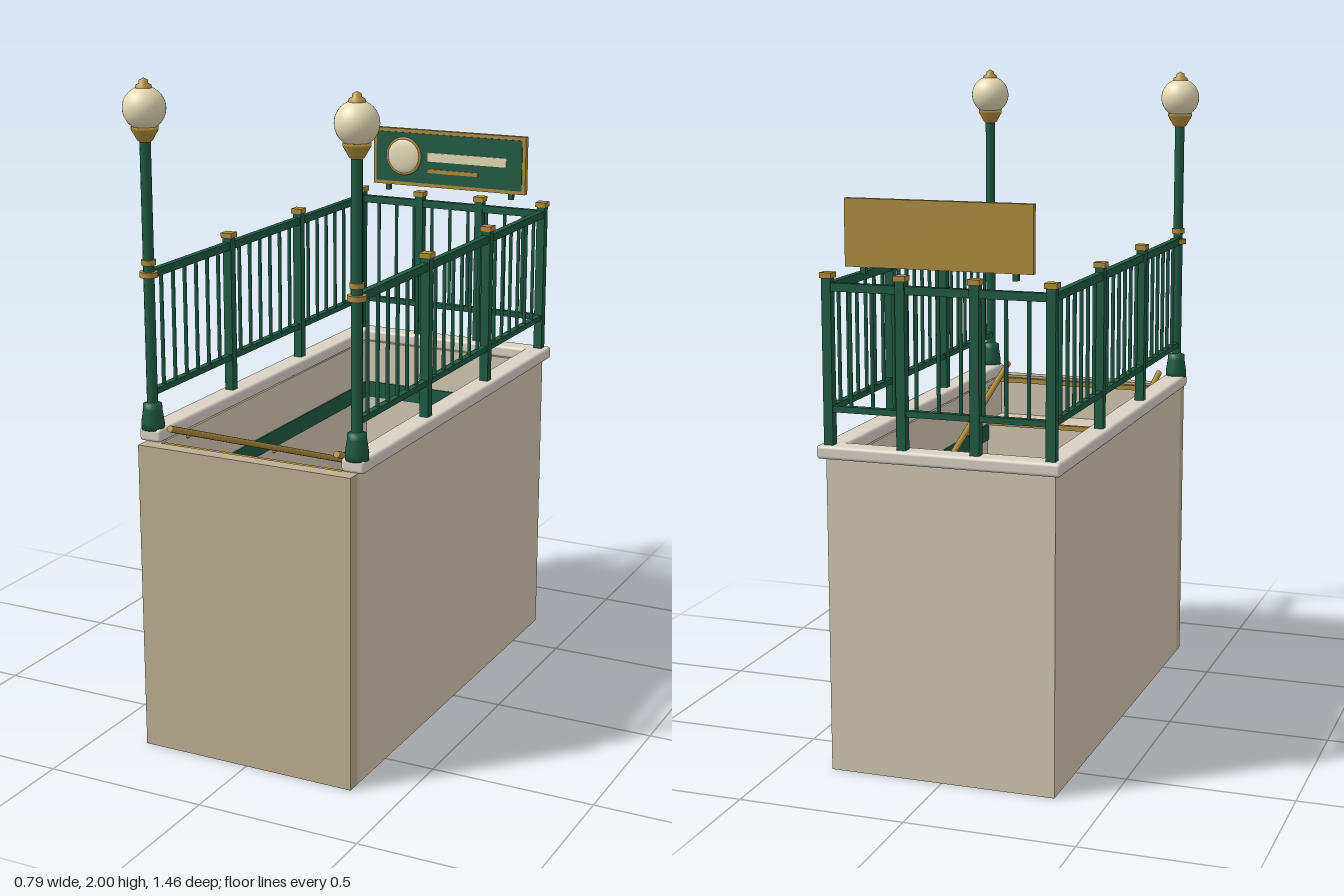
import * as THREE from 'three';
import { RoundedBoxGeometry } from 'three/addons/geometries/RoundedBoxGeometry.js';

const mat = (color) => new THREE.MeshStandardMaterial({ color });
const GREEN = mat(0x1f5a44), GOLD = mat(0xb08d3f), CREAM = mat(0xe6dcb8);
const STONE = mat(0xd3c9b3), CAP = mat(0xd9d2c6), TAN = mat(0xbcae92);

export function createModel() {
  const root = new THREE.Group();

  const add = (name, geo, m, x, y, z, parent = root) => {
    const mesh = new THREE.Mesh(geo, m);
    mesh.name = name;
    mesh.position.set(x, y, z);
    parent.add(mesh);
    return mesh;
  };
  // box given by its min and max corners
  const box = (name, m, x0, x1, y0, y1, z0, z1, parent) =>
    add(name, new THREE.BoxGeometry(x1 - x0, y1 - y0, z1 - z0), m,
      (x0 + x1) / 2, (y0 + y1) / 2, (z0 + z1) / 2, parent);
  const rod = (name, m, r, a, b, parent) => {
    const dir = b.clone().sub(a);
    const mesh = add(name, new THREE.CylinderGeometry(r, r, dir.length(), 12), m, 0, 0, 0, parent);
    mesh.position.copy(a).lerp(b, 0.5);
    mesh.quaternion.setFromUnitVectors(new THREE.Vector3(0, 1, 0), dir.normalize());
    return mesh;
  };
  const lathe = (name, m, pts, x, z, parent) =>
    add(name, new THREE.LatheGeometry(pts.map((p) => new THREE.Vector2(...p)), 24), m, x, 0, z, parent);
  const V = (x, y, z) => new THREE.Vector3(x, y, z);

  const RX = 0.333, BACK = -0.69, FRONT = 0.665;
  const TOP = 0.985; // top of the coping

  // Stairwell walls
  for (const s of [-1, 1]) {
    const x0 = s < 0 ? -0.345 : 0.295;
    box('sideWall', STONE, x0, x0 + 0.05, 0, 0.945, -0.705, 0.685);
    add('sideCoping', new RoundedBoxGeometry(0.072, 0.04, 1.42, 2, 0.01), CAP, s * 0.33, 0.965, -0.02);
    box('tileBand', GREEN, s < 0 ? -0.297 : 0.29, s < 0 ? -0.29 : 0.297, 0.745, 0.8, -0.66, 0.68);
  }
  box('backWall', STONE, -0.295, 0.295, 0, 0.945, -0.705, -0.66);
  box('frontWall', TAN, -0.345, 0.345, 0, 0.945, 0.685, 0.73);
  add('backCoping', new RoundedBoxGeometry(0.73, 0.04, 0.07, 2, 0.01), CAP, 0, 0.965, -0.695);
  box('backTileBand', GREEN, -0.295, 0.295, 0.745, 0.8, -0.662, -0.655);

  // Stairs with metal nosings, and the landing at their foot
  const stairs = new THREE.Group();
  stairs.name = 'stairs';
  root.add(stairs);
  const RUN = 0.1436, RISE = 0.125, Z0 = -0.34;
  box('landing', STONE, -0.295, 0.295, 0.015, 0.04, -0.66, Z0, stairs);
  for (let i = 0; i < 8; i++) {
    const z = Z0 + i * RUN, y = 0.06 + i * RISE;
    box('step', STONE, -0.295, 0.295, 0.015, y, z, Math.min(z + RUN, 0.685), stairs);
    box('nosing', GOLD, -0.295, 0.295, y - 0.012, y + 0.004, z - 0.008, z + 0.009, stairs);
  }

  // Sloping handrails inside the well
  for (const s of [-1, 1]) {
    const a = V(s * 0.272, 0.987, 0.67), b = V(s * 0.272, 0.5, -0.64);
    rod('handrail', GOLD, 0.01, a, b);
    for (const t of [0.1, 0.5, 0.9]) {
      const p = a.clone().lerp(b, t);
      rod('handrailBracket', GOLD, 0.005, p, V(s * 0.297, p.y - 0.015, p.z));
    }
  }

  // Railings: posts, two rails and evenly spaced balusters
  const fence = new THREE.Group();
  fence.name = 'railings';
  root.add(fence);
  const post = (x, z) => {
    box('post', GREEN, x - 0.014, x + 0.014, TOP - 0.005, 1.47, z - 0.014, z + 0.014, fence);
    box('postCap', GOLD, x - 0.018, x + 0.018, 1.465, 1.481, z - 0.018, z + 0.018, fence);
  };
  const run = (a, b, count, skip) => {
    const alongX = a.z === b.z;
    for (const [y, h] of [[1.44, 0.024], [1.09, 0.018]]) {
      const len = a.distanceTo(b), w = 0.02;
      add('rail', new THREE.BoxGeometry(alongX ? len : w, h, alongX ? w : len), GREEN,
        (a.x + b.x) / 2, y, (a.z + b.z) / 2, fence);
    }
    for (let i = 1; i < count; i++) {
      if (skip && i % skip === 0) continue;
      const p = a.clone().lerp(b, i / count);
      add('baluster', new THREE.CylinderGeometry(0.006, 0.006, 0.35, 8), GREEN, p.x, 1.265, p.z, fence);
    }
  };
  for (const s of [-1, 1]) {
    run(V(s * RX, 0, FRONT), V(s * RX, 0, BACK), 21, 7);
    for (const z of [0.21, -0.24, BACK - 0.01]) post(s * RX, z);
    post(s * 0.11, BACK - 0.01);
  }
  run(V(-RX, 0, BACK - 0.01), V(RX, 0, BACK - 0.01), 10);

  // Lamp posts at the front corners
  for (const s of [-1, 1]) {
    const lamp = new THREE.Group();
    lamp.name = 'lampPost';
    lamp.position.set(s * RX, 0, FRONT);
    root.add(lamp);
    lathe('lampBase', GREEN, [[0, 0.98], [0.034, 0.98], [0.034, 1.0], [0.028, 1.04], [0.028, 1.055], [0.016, 1.06]], 0, 0, lamp);
    rod('lampPole', GREEN, 0.016, V(0, 1.05, 0), V(0, 1.84, 0), lamp);
    for (const [y, r] of [[1.44, 0.027], [1.475, 0.021]])
      add('lampRing', new THREE.CylinderGeometry(r, r, 0.016, 20), GOLD, 0, y, 0, lamp);
    lathe('lampCollar', GOLD, [[0.016, 1.82], [0.022, 1.825], [0.039, 1.855], [0.039, 1.864], [0, 1.864]], 0, 0, lamp);
    add('lampGlobe', new THREE.SphereGeometry(0.062, 32, 20), CREAM, 0, 1.915, 0, lamp);
    lathe('lampFinial', GOLD, [[0.025, 1.97], [0.022, 1.98], [0.013, 1.985], [0.013, 1.993], [0, 2.0]], 0, 0, lamp);
  }

  // Sign panel above the back railing
  const sign = new THREE.Group();
  sign.name = 'sign';
  root.add(sign);
  box('signFrame', GOLD, -0.28, 0.276, 1.5, 1.692, -0.706, -0.686, sign);
  box('signPanel', GREEN, -0.268, 0.264, 1.512, 1.68, -0.69, -0.683, sign);
  box('signBar', CREAM, -0.076, 0.21, 1.588, 1.618, -0.685, -0.679, sign);
  box('signLine', GOLD, -0.076, 0.108, 1.549, 1.562, -0.685, -0.679, sign);
  add('signDiscRing', new THREE.TorusGeometry(0.06, 0.005, 8, 36), GOLD, -0.165, 1.6, -0.682, sign);
  add('signDisc', new THREE.SphereGeometry(0.06, 32, 16), CREAM, -0.165, 1.6, -0.682, sign).scale.z = 0.22;
  for (const x of [-0.227, 0.223]) box('signFoot', GREEN, x - 0.008, x + 0.008, 1.48, 1.505, -0.704, -0.688, sign);

  return root;
}
